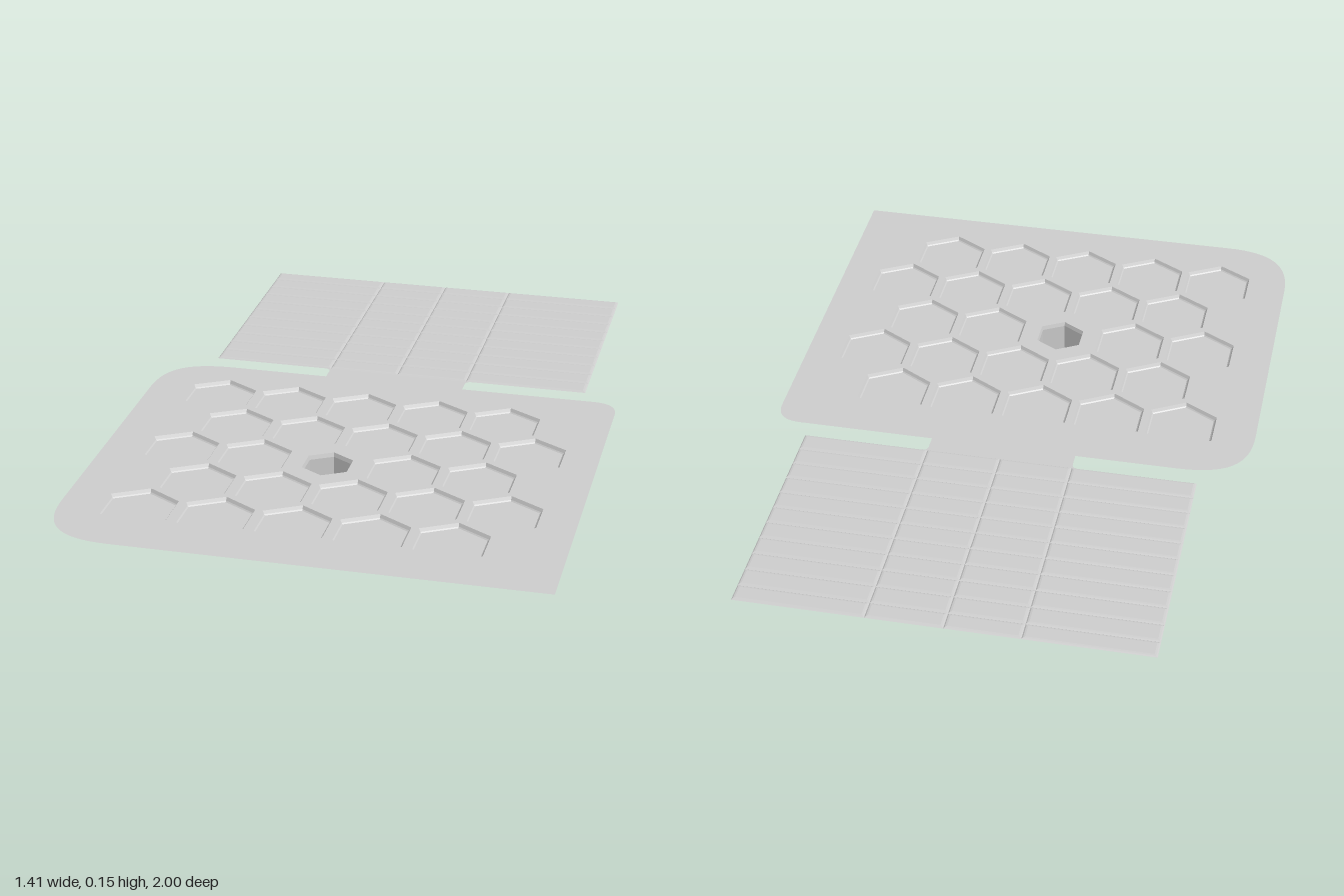
import * as THREE from 'three';

const SHEET = 0.147;   // height of the thin main sheet
const FLOOR = 0.135;   // floor of the hexagonal dishes
const CELL_TOP = 0.151; // top of the ribbed panel cells
const TILT = 0.008;    // slight turn of the honeycomb

const material = new THREE.MeshStandardMaterial({ color: 0xcccccc, side: THREE.DoubleSide });
const flatMaterial = material.clone();
flatMaterial.flatShading = true;

function addMesh(parent, name, geometry, mat = flatMaterial) {
  const mesh = new THREE.Mesh(geometry, mat);
  mesh.name = name;
  parent.add(mesh);
  return mesh;
}

// Hexagon with corners along z, counter-clockwise from above, as [x, z]
function hexPoints(cx, cz, r) {
  return Array.from({ length: 6 }, (_, i) => {
    const a = Math.PI / 2 + (i * Math.PI) / 3 - TILT;
    return [cx + r * Math.cos(a), cz - r * Math.sin(a)];
  });
}

// Rectangle, counter-clockwise from above
function rectPoints(x0, x1, z0, z1, inset) {
  return [[x0 + inset, z1 - inset], [x1 - inset, z1 - inset],
    [x1 - inset, z0 + inset], [x0 + inset, z0 + inset]];
}

// Skin joining rings {points, y} from the outside in, optionally closed by a flat cap
function loft(rings, capped) {
  const out = [];
  const put = (ring, i) => {
    const [x, z] = ring.points[i % ring.points.length];
    out.push(x, ring.y, z);
  };
  const n = rings[0].points.length;
  for (let k = 0; k < rings.length - 1; k++) {
    const a = rings[k], b = rings[k + 1];
    for (let i = 0; i < n; i++) {
      put(a, i); put(a, i + 1); put(b, i + 1);
      put(a, i); put(b, i + 1); put(b, i);
    }
  }
  if (capped) {
    const last = rings[rings.length - 1];
    for (let i = 1; i < n - 1; i++) { put(last, 0); put(last, i); put(last, i + 1); }
  }
  const g = new THREE.BufferGeometry();
  g.setAttribute('position', new THREE.Float32BufferAttribute(out, 3));
  g.computeVertexNormals();
  return g;
}

// Flat horizontal surface from a shape drawn in (x, -z)
function flat(shape, y) {
  return new THREE.ShapeGeometry(shape, 16).rotateX(-Math.PI / 2).translate(0, y, 0);
}

const toShape = (points, Type = THREE.Path) =>
  new Type(points.map(([x, z]) => new THREE.Vector2(x, -z)));

export function createModel() {
  const model = new THREE.Group();
  model.name = 'platform';
  const post = { x: -0.049, z: 0.397 };

  // Main sheet outline with its neck towards the panel
  const outline = new THREE.Shape();
  outline.moveTo(0.704, -1);
  outline.lineTo(0.704, 0.12);
  outline.quadraticCurveTo(0.704, 0.196, 0.628, 0.196);
  outline.lineTo(0.225, 0.196);
  outline.lineTo(0.225, 0.235);
  outline.quadraticCurveTo(0.225, 0.255, 0.245, 0.255);
  outline.lineTo(-0.224, 0.255);
  outline.quadraticCurveTo(-0.204, 0.255, -0.204, 0.235);
  outline.lineTo(-0.204, 0.196);
  outline.lineTo(-0.5, 0.196);
  outline.bezierCurveTo(-0.65, 0.196, -0.709, 0.14, -0.709, 0);
  outline.lineTo(-0.709, -0.78);
  outline.bezierCurveTo(-0.709, -0.93, -0.65, -1, -0.5, -1);
  outline.closePath();

  // Honeycomb of shallow dishes around the central post
  const dishes = new THREE.Group();
  dishes.name = 'hexDishes';
  model.add(dishes);
  for (let row = -2; row <= 2; row++) {
    for (let col = -2; col <= 2; col++) {
      if (row === 0 && col === 0) continue;
      const u = col * 0.2195 + (row % 2 ? 0.109 : 0), v = row * 0.1905;
      const x = post.x + u - v * TILT, z = post.z + v + u * TILT;
      const rim = hexPoints(x, z, 0.1145);
      outline.holes.push(toShape(rim));
      addMesh(dishes, 'hexDish', loft([
        { points: rim, y: SHEET },
        { points: hexPoints(x, z, 0.109), y: FLOOR + 0.003 },
        { points: hexPoints(x, z, 0.105), y: FLOOR },
      ], true));
    }
  }

  // Hollow hexagonal post, open at the top
  const socket = new THREE.Group();
  socket.name = 'post';
  model.add(socket);
  const mouth = hexPoints(post.x, post.z, 0.076);
  const foot = hexPoints(post.x, post.z, 0.072);
  outline.holes.push(toShape(mouth));
  addMesh(socket, 'postWall', loft([
    { points: mouth, y: SHEET },
    { points: foot, y: FLOOR },
    { points: foot, y: 0.05 },
  ], false));

  const base = toShape(foot, THREE.Shape);
  const hole = new THREE.Path();
  hole.absarc(post.x, -post.z, 0.038, 0, Math.PI * 2, true);
  base.holes.push(hole);
  addMesh(socket, 'postFloor', flat(base, 0.05));

  // Rounded tip under the post
  const tip = [[0, 0], [0.013, 0.001], [0.023, 0.006], [0.03, 0.015], [0.033, 0.027],
    [0.035, 0.04], [0.038, 0.05]].map(([r, y]) => new THREE.Vector2(r, y));
  addMesh(socket, 'postTip', new THREE.LatheGeometry(tip, 32), material)
    .position.set(post.x, 0, post.z);

  addMesh(model, 'sheet', flat(outline, SHEET));

  // Ribbed panel: grid of cells with bevelled grooves between them
  const panel = new THREE.Group();
  panel.name = 'ribbedPanel';
  model.add(panel);
  const columns = [-0.569, -0.204, 0.008, 0.225, 0.595];
  const rows = 11, pitch = 0.0685, front = -0.255;
  for (let r = 0; r < rows; r++) {
    const z1 = front - r * pitch;
    const z0 = r === rows - 1 ? -1 : z1 - pitch;
    for (let c = 0; c < columns.length - 1; c++) {
      const ring = (inset) => rectPoints(columns[c], columns[c + 1], z0, z1, inset);
      addMesh(panel, 'panelCell', loft([
        { points: ring(0), y: SHEET },
        { points: ring(0.004), y: CELL_TOP - 0.001 },
        { points: ring(0.009), y: CELL_TOP },
      ], true));
    }
  }

  return model;
}
